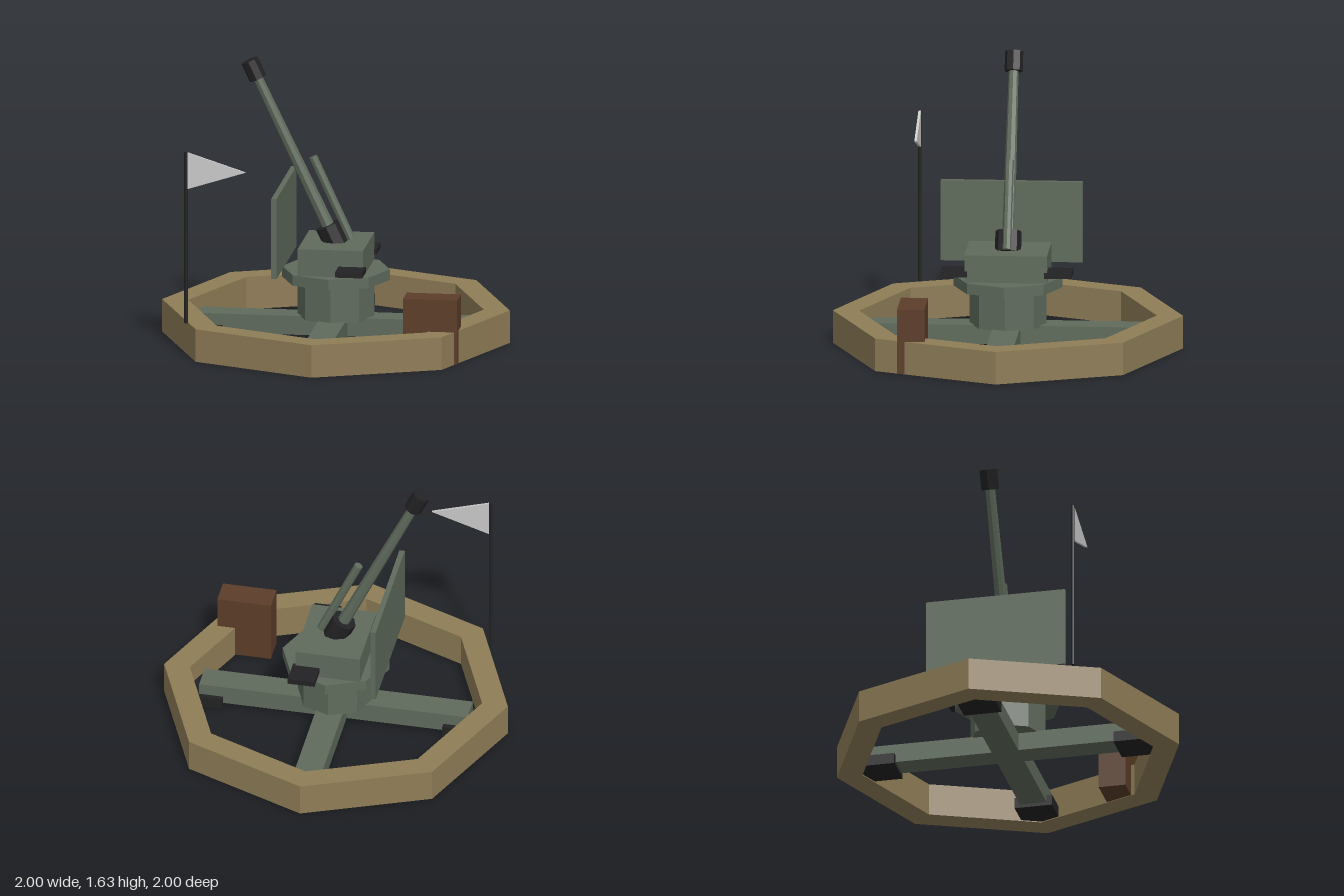
import * as THREE from 'three';

const mat = (color, extra = {}) => new THREE.MeshStandardMaterial({ color, flatShading: true, ...extra });
const sand = mat(0x8f7d57);
const green = mat(0x5f6b5c);
const black = mat(0x222224);
const wood = mat(0x5c3d28);
const cloth = mat(0xcccccc, { side: THREE.DoubleSide });

export function createModel() {
  const model = new THREE.Group();

  const add = (name, geometry, material, x = 0, y = 0, z = 0, parent = model) => {
    const mesh = new THREE.Mesh(geometry, material);
    mesh.name = name;
    mesh.position.set(x, y, z);
    parent.add(mesh);
    return mesh;
  };
  const box = (name, material, [w, h, d], [x, y, z], parent) =>
    add(name, new THREE.BoxGeometry(w, h, d), material, x, y, z, parent);
  const drum = (name, material, rTop, rBottom, h, [x, y, z], parent) =>
    add(name, new THREE.CylinderGeometry(rTop, rBottom, h, 8), material, x, y, z, parent);

  // Eight-sided parapet ring with corners on the axes
  const octagon = (r) => Array.from({ length: 8 }, (_, i) =>
    new THREE.Vector2(r * Math.cos(i * Math.PI / 4), r * Math.sin(i * Math.PI / 4)));
  const ringShape = new THREE.Shape(octagon(1));
  ringShape.holes.push(new THREE.Path(octagon(0.85)));
  const ring = new THREE.ExtrudeGeometry(ringShape, { depth: 0.19, bevelEnabled: false });
  ring.rotateX(-Math.PI / 2);
  add('parapetRing', ring, sand);

  // Cross-shaped base with a foot pad under each end
  box('crossLegX', green, [1.56, 0.11, 0.156], [0, 0.08, 0]);
  box('crossLegZ', green, [0.156, 0.11, 1.56], [0, 0.08, 0]);
  for (let i = 0; i < 4; i++) {
    const a = i * Math.PI / 2;
    box('footPad', black, [0.219, 0.063, 0.219], [0.75 * Math.cos(a), 0.037, 0.75 * Math.sin(a)]);
  }

  // Pedestal, turntable and mount
  drum('pedestal', green, 0.22, 0.22, 0.22, [0, 0.24, 0]);
  drum('turntable', green, 0.31, 0.31, 0.062, [0, 0.377, 0]);
  box('mount', green, [0.375, 0.158, 0.47], [0, 0.486, 0]);
  for (const side of [-1, 1]) box('seat', black, [0.156, 0.031, 0.156], [0.125, 0.455, side * 0.298]);
  box('shield', green, [0.031, 0.468, 0.81], [-0.3, 0.661, 0]);

  // Raised gun: local +y runs along the barrel
  const gun = new THREE.Group();
  gun.name = 'gun';
  gun.position.set(-0.02, 0.6, 0);
  gun.rotation.z = THREE.MathUtils.degToRad(25.4);
  model.add(gun);
  drum('breechCollar', black, 0.075, 0.075, 0.125, [0, 0, 0], gun);
  drum('barrel', green, 0.028, 0.037, 1.04, [0, 0.5, 0], gun);
  drum('muzzle', black, 0.052, 0.052, 0.115, [0, 1.055, 0], gun);

  // Recoil cylinder beside the barrel
  const recoil = drum('recoilCylinder', green, 0.025, 0.025, 0.52, [-0.023, 0.817, 0]);
  recoil.rotation.z = THREE.MathUtils.degToRad(24.8);

  // Ammunition crate on the ring
  box('crate', wood, [0.312, 0.374, 0.156], [0.623, 0.19, 0.5]);

  // Flagpole with pennant
  drum('flagpole', black, 0.011, 0.011, 1, [-0.783, 0.69, 0.56]);
  const pennant = new THREE.Shape([[0, 0.107], [0, -0.107], [0.335, 0]].map(([x, y]) => new THREE.Vector2(x, y)));
  add('pennant', new THREE.ExtrudeGeometry(pennant, { depth: 0.014, bevelEnabled: false }), cloth, -0.776, 1.082, 0.553);

  return model;
}
